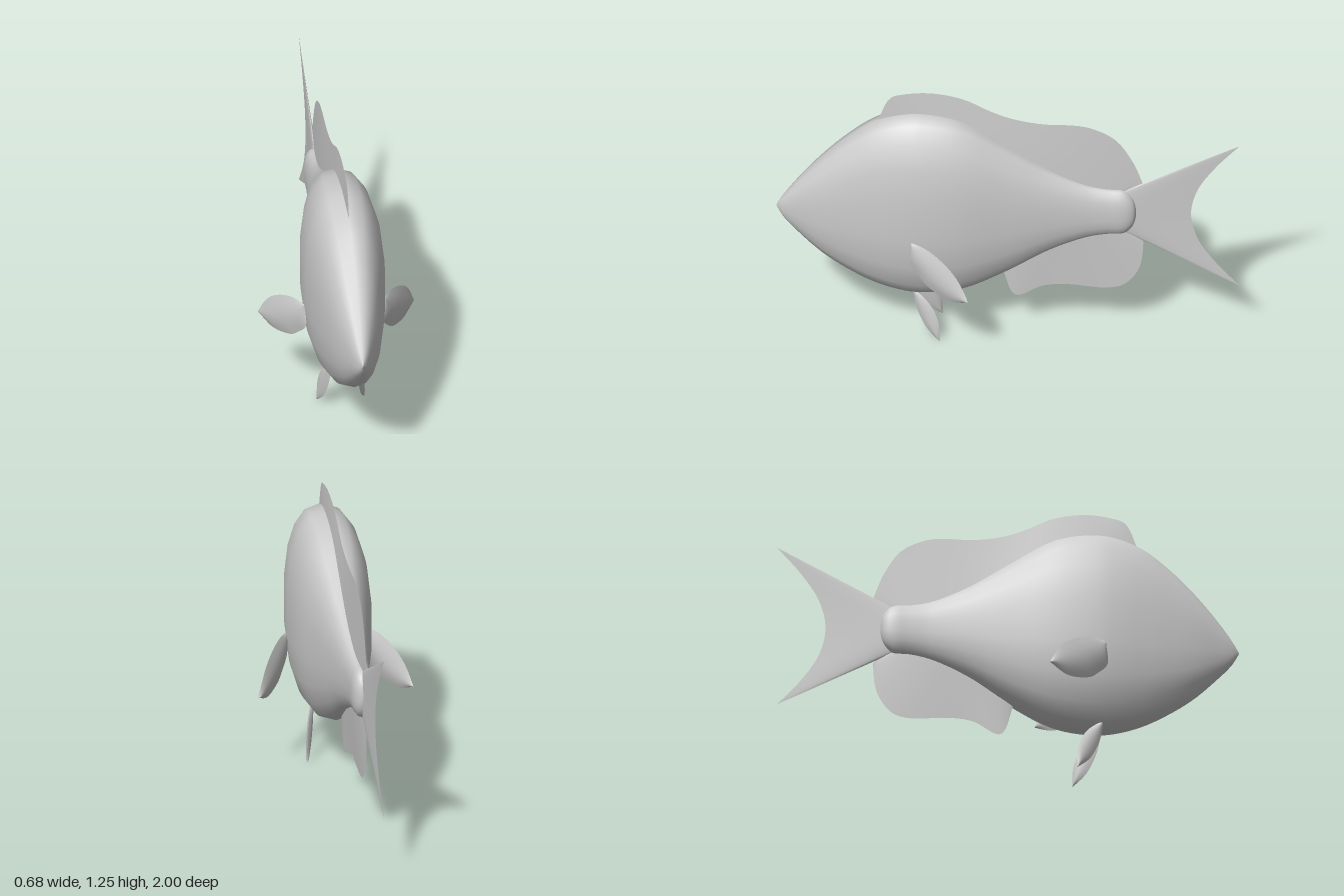
import * as THREE from 'three';

const grey = new THREE.MeshStandardMaterial({ color: 0xcccccc });
const finGrey = new THREE.MeshStandardMaterial({ color: 0xcccccc, side: THREE.DoubleSide });

function makeMesh(name, positions, index, material) {
  const geometry = new THREE.BufferGeometry();
  geometry.setAttribute('position', new THREE.Float32BufferAttribute(positions, 3));
  geometry.setIndex(index);
  geometry.computeVertexNormals();
  const mesh = new THREE.Mesh(geometry, material);
  mesh.name = name;
  return mesh;
}

// Body: 18-sided rounded sections lofted from nose to tail root
function createBody() {
  // z, top y, bottom y, half width
  const stations = [
    [1, 0.622, 0.618, 0], [0.97, 0.672, 0.565, 0.024], [0.9, 0.77, 0.487, 0.058], [0.8, 0.89, 0.392, 0.097],
    [0.69, 1.0, 0.315, 0.128], [0.58, 1.085, 0.256, 0.152], [0.47, 1.13, 0.221, 0.17],
    [0.37, 1.143, 0.21, 0.177], [0.2, 1.113, 0.234, 0.165], [0, 0.99, 0.335, 0.122],
    [-0.18, 0.872, 0.45, 0.083], [-0.34, 0.797, 0.522, 0.057], [-0.43, 0.778, 0.543, 0.051],
    [-0.5, 0.771, 0.55, 0.048], [-0.535, 0.74, 0.582, 0.036], [-0.55, 0.7, 0.622, 0.02], [-0.555, 0.662, 0.658, 0],
  ];
  const outline = new THREE.CatmullRomCurve3(stations.map(([z, t, b]) => new THREE.Vector3(t, b, z)));
  const widths = new THREE.CatmullRomCurve3(stations.map(([z, , , w]) => new THREE.Vector3(w, 0, z)));
  const rows = 64, sides = 18;
  const soft = (v) => Math.sign(v) * Math.abs(v) ** 0.85;
  const positions = [], index = [];
  for (let i = 0; i <= rows; i++) {
    const p = outline.getPoint(i / rows);
    const w = Math.max(0, widths.getPoint(i / rows).x);
    for (let k = 0; k < sides; k++) {
      const a = (k / sides) * Math.PI * 2;
      positions.push(w * soft(Math.sin(a)), (p.x + p.y) / 2 + ((p.x - p.y) / 2) * soft(Math.cos(a)), p.z);
      if (i === rows) continue;
      const n = (k + 1) % sides, r = i * sides, s = r + sides;
      index.push(r + k, r + n, s + k, r + n, s + n, s + k);
    }
  }
  return makeMesh('body', positions, index, grey);
}

// Fin: surface between two rails of [z, y] points, swollen on both sides
function createFin(name, railA, railB, thickness, profile) {
  const curve = (pts) => new THREE.SplineCurve(pts.map(([z, y]) => new THREE.Vector2(z, y)));
  const a = curve(railA), b = curve(railB);
  const nu = 40, nv = 8, positions = [], index = [];
  for (const side of [1, -1]) {
    const start = positions.length / 3;
    for (let i = 0; i <= nu; i++) {
      const u = i / nu, pa = a.getPoint(u), pb = b.getPoint(u);
      const swell = thickness * Math.sqrt(Math.max(0, Math.sin(Math.PI * u)));
      for (let j = 0; j <= nv; j++) {
        const v = j / nv, p = pa.clone().lerp(pb, v);
        positions.push(side * swell * profile(v), p.y, p.x);
        if (i === nu || j === nv) continue;
        const q = start + i * (nv + 1) + j, r = q + nv + 1;
        if (side > 0) index.push(q, r, q + 1, r, r + 1, q + 1);
        else index.push(q, q + 1, r, r, q + 1, r + 1);
      }
    }
  }
  return makeMesh(name, positions, index, finGrey);
}

const wedge = (v) => 1 - v;
const leaf = (v) => Math.sin(Math.PI * v);

export function createModel() {
  const model = new THREE.Group();
  model.name = 'fish';
  model.add(createBody());

  // Median fins
  model.add(createFin('dorsalFin',
    [[0.54, 1.06], [0.37, 1.1], [0.2, 1.07], [0, 0.95], [-0.18, 0.83], [-0.34, 0.76], [-0.49, 0.73]],
    [[0.56, 1.095], [0.515, 1.205], [0.45, 1.235], [0.33, 1.247], [0.195, 1.222], [0.08, 1.165], [-0.02, 1.127],
      [-0.15, 1.105], [-0.29, 1.105], [-0.38, 1.085], [-0.47, 1.03], [-0.54, 0.92], [-0.583, 0.805]],
    0.016, wedge));
  model.add(createFin('analFin',
    [[0.02, 0.35], [-0.18, 0.48], [-0.34, 0.55], [-0.49, 0.59]],
    [[0.02, 0.32], [-0.013, 0.21], [-0.055, 0.19], [-0.15, 0.243], [-0.26, 0.256], [-0.42, 0.246],
      [-0.51, 0.275], [-0.57, 0.37], [-0.585, 0.5]],
    0.014, wedge));
  model.add(createFin('tailFin',
    [[-0.5, 0.768], [-0.48, 0.66], [-0.5, 0.552]],
    [[-1, 1.03], [-0.9, 0.915], [-0.82, 0.79], [-0.79, 0.658], [-0.82, 0.525], [-0.9, 0.4], [-1, 0.285]],
    0.012, wedge));

  // Paired fins, swept back and outward from each flank
  for (const [label, s] of [['left', 1], ['right', -1]]) {
    const pectoral = createFin(label + 'PectoralFin',
      [[0, 0.57], [0.012, 0.47], [-0.04, 0.41], [-0.1, 0.37], [-0.21, 0.351], [-0.305, 0.385]],
      [[0, 0.57], [-0.07, 0.57], [-0.14, 0.55], [-0.21, 0.51], [-0.26, 0.46], [-0.305, 0.385]],
      0.018, leaf);
    pectoral.position.set(s * 0.173, 0, 0.405);
    pectoral.rotation.y = -s * 0.571;

    const pelvic = createFin(label + 'PelvicFin',
      [[0.01, 0.25], [-0.01, 0.15], [-0.055, 0.058], [-0.118, 0]],
      [[0.01, 0.25], [-0.07, 0.185], [-0.113, 0.1], [-0.118, 0]],
      0.011, leaf);
    pelvic.position.set(s * 0.06, 0, 0.4);
    pelvic.rotation.y = -s * 0.36;
    model.add(pectoral, pelvic);
  }
  return model;
}
